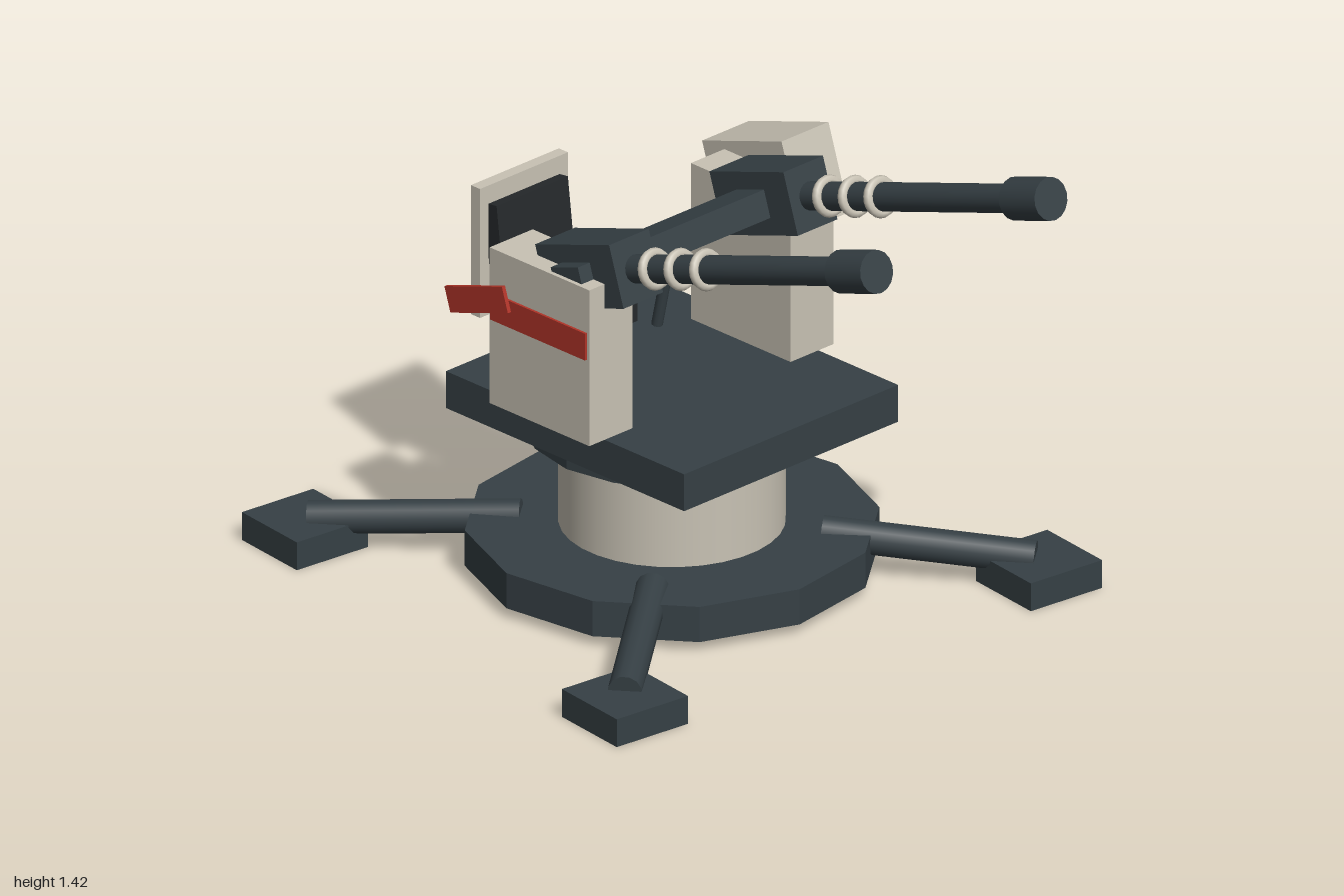
import * as THREE from 'three';

const dark = new THREE.MeshStandardMaterial({ color: 0x364045 });
const darkFlat = new THREE.MeshStandardMaterial({ color: 0x364045, flatShading: true });
const pale = new THREE.MeshStandardMaterial({ color: 0xc8c2b4 });
const red = new THREE.MeshStandardMaterial({ color: 0xb03428 });
const padding = new THREE.MeshStandardMaterial({ color: 0x25292b });

function add(parent, name, geometry, material, x, y, z) {
  const mesh = new THREE.Mesh(geometry, material);
  mesh.name = name;
  mesh.position.set(x, y, z);
  parent.add(mesh);
  return mesh;
}

function box(parent, name, material, size, pos) {
  return add(parent, name, new THREE.BoxGeometry(...size), material, ...pos);
}

// Upright cylinder between two heights
function drum(parent, name, material, r, y0, y1, sides) {
  return add(parent, name, new THREE.CylinderGeometry(r, r, y1 - y0, sides), material, 0, (y0 + y1) / 2, 0);
}

// Cylinder between two points
function rod(parent, name, material, a, b, r, sides = 16) {
  const from = new THREE.Vector3(...a), to = new THREE.Vector3(...b);
  const dir = to.clone().sub(from);
  const mesh = add(parent, name, new THREE.CylinderGeometry(r, r, dir.length(), sides), material, 0, 0, 0);
  mesh.position.copy(from).add(to).multiplyScalar(0.5);
  mesh.quaternion.setFromUnitVectors(new THREE.Vector3(0, 1, 0), dir.normalize());
  return mesh;
}

function subgroup(parent, name, x, y, z) {
  const g = new THREE.Group();
  g.name = name;
  g.position.set(x, y, z);
  parent.add(g);
  return g;
}

// Fixed base: disc, column, four outriggers with square feet
function buildBase(parent) {
  const base = subgroup(parent, 'base', 0, 0, -0.17);
  drum(base, 'baseDisc', darkFlat, 0.565, 0.03, 0.135, 12);
  drum(base, 'column', pale, 0.308, 0.135, 0.415, 32);
  for (const sx of [-1, 1]) {
    for (const sz of [-1, 1]) {
      rod(base, 'outrigger', dark, [sx * 0.29, 0.12, sz * 0.29], [sx * 0.7, 0.08, sz * 0.7], 0.047, 12);
      box(base, 'foot', dark, [0.243, 0.083, 0.243], [sx * 0.706, 0.0415, sz * 0.708]);
    }
  }
}

// Seat with tilted back pad, rear shield and a pair of control levers
function buildSeat(parent) {
  const seat = subgroup(parent, 'seat', 0, 0, 0);
  box(seat, 'seatCushion', padding, [0.27, 0.055, 0.29], [0, 0.618, -0.415]);
  const pad = box(seat, 'backPad', padding, [0.27, 0.31, 0.05], [0, 0.775, -0.545]);
  pad.rotation.x = -0.12;
  box(seat, 'rearShield', pale, [0.333, 0.385, 0.035], [0, 0.79, -0.588]);
  box(seat, 'shieldStripe', red, [0.235, 0.062, 0.012], [0, 0.82, -0.609]);
  for (const s of [-1, 1]) {
    rod(seat, 'controlLever', dark, [s * 0.138, 0.605, -0.198], [s * 0.138, 0.885, -0.135], 0.016, 10);
  }
}

// Pitched assembly: cross bar with a gun at each end
function buildGuns(parent) {
  const guns = subgroup(parent, 'guns', 0, 1.01, 0.055);
  guns.rotation.x = -0.315;
  box(guns, 'crossBar', dark, [0.9, 0.08, 0.11], [0, 0, 0]);
  for (const s of [-1, 1]) {
    const gun = subgroup(guns, s > 0 ? 'leftGun' : 'rightGun', s * 0.33, 0, 0);
    box(gun, 'receiver', dark, [0.15, 0.18, 0.3], [0, 0, 0]);
    rod(gun, 'barrel', dark, [0, 0, 0.14], [0, 0, 1.02], 0.04);
    rod(gun, 'muzzle', dark, [0, 0, 0.98], [0, 0, 1.125], 0.06);
    for (const z of [0.227, 0.331, 0.435]) {
      add(gun, 'barrelRing', new THREE.TorusGeometry(0.045, 0.014, 8, 20), pale, 0, 0, z);
    }
  }
}

// Ammunition box on the left; its marker panel repeats on both sides
function buildAmmo(parent) {
  const ammo = subgroup(parent, 'ammunition', 0, 0.945, -0.125);
  ammo.rotation.x = -0.315;
  box(ammo, 'ammoBox', pale, [0.178, 0.256, 0.322], [0.515, 0, 0]);
  for (const s of [-1, 1]) {
    box(ammo, 'markerPanel', red, [0.012, 0.075, 0.233], [s * 0.608, 0.004, -0.004]);
  }
}

export function createModel() {
  const model = new THREE.Group();
  model.name = 'turret';
  buildBase(model);

  // Everything above the column is turned slightly to the left
  const top = subgroup(model, 'turntable', 0, 0, -0.17);
  top.rotation.y = 0.12;
  drum(top, 'turntableRing', darkFlat, 0.4, 0.415, 0.447, 16);
  box(top, 'deck', dark, [0.81, 0.11, 0.918], [0, 0.5, 0]);
  for (const s of [-1, 1]) {
    box(top, 'sideTower', pale, [0.163, 0.465, 0.384], [s * 0.381, 0.7875, -0.04]);
    box(top, 'towerStripe', red, [0.012, 0.08, 0.365], [s * 0.464, 0.85, -0.04]);
  }
  buildSeat(top);
  buildGuns(top);
  buildAmmo(top);
  return model;
}
